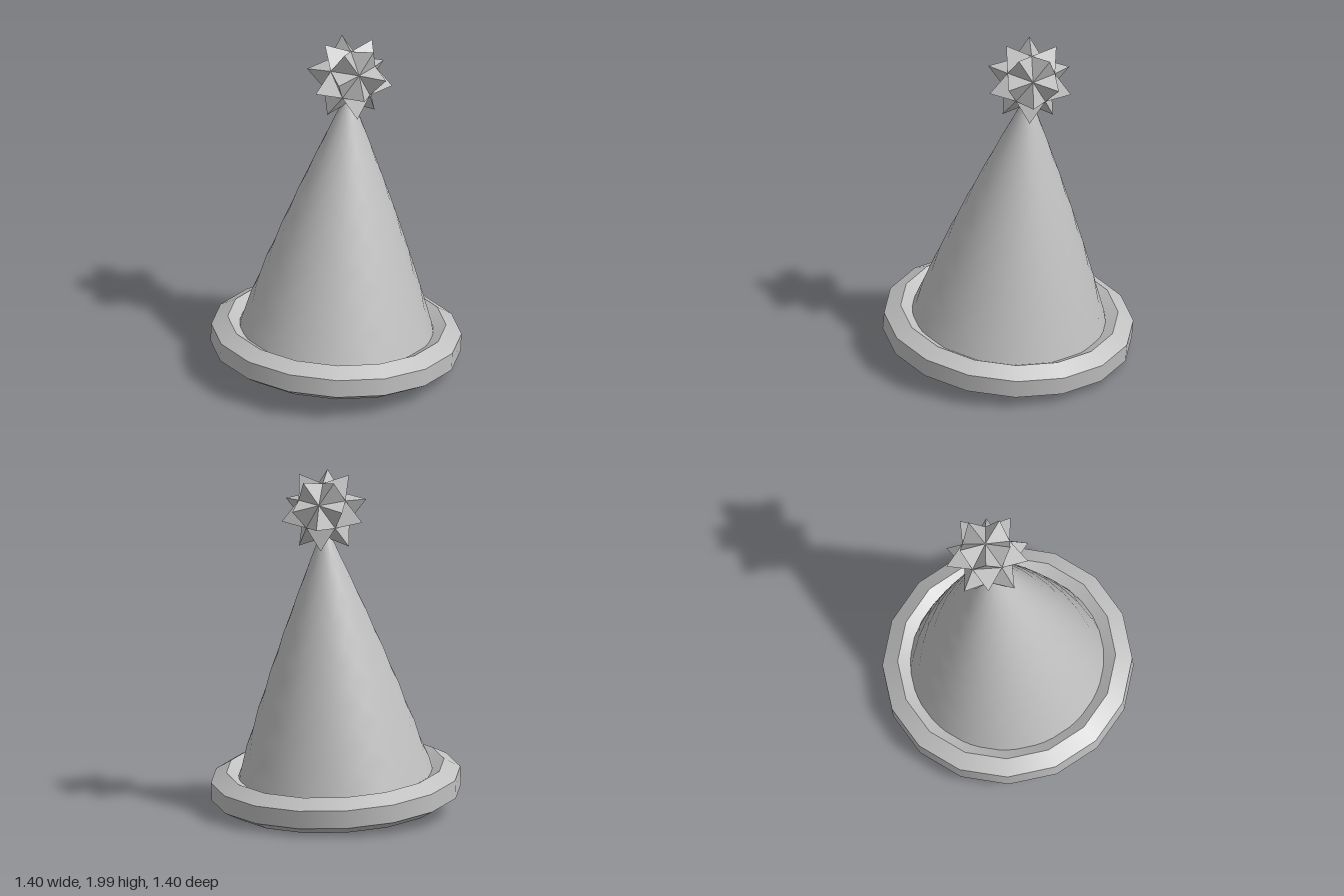
import * as THREE from 'three';
import { mergeVertices } from 'three/addons/utils/BufferGeometryUtils.js';

const SIDES = 16;

// Cone whose 16-sided rings turn as they rise, giving soft spiral ridges
function twistedCone(bottom, top, rings, turn) {
  const profile = [];
  for (let i = 0; i <= rings; i++) {
    const t = i / rings;
    const r = THREE.MathUtils.lerp(0.61, 0.04, t) + 0.022 * Math.sin(Math.PI * t);
    profile.push(new THREE.Vector2(r, THREE.MathUtils.lerp(bottom, top, t)));
  }
  profile.push(new THREE.Vector2(0.022, top + 0.02), new THREE.Vector2(0, top + 0.03));
  let geo = new THREE.LatheGeometry(profile, SIDES, Math.PI / SIDES);
  const p = geo.attributes.position;
  for (let i = 0; i < p.count; i++) {
    const a = turn * (p.getY(i) - bottom) / (top - bottom);
    const x = p.getX(i), z = p.getZ(i);
    p.setX(i, x * Math.cos(a) + z * Math.sin(a));
    p.setZ(i, z * Math.cos(a) - x * Math.sin(a));
  }
  geo.deleteAttribute('normal');
  geo.deleteAttribute('uv');
  geo = mergeVertices(geo, 1e-5);
  geo.computeVertexNormals();
  return geo;
}

// Icosahedron with a three-sided spike on each face
function spikyBall(core, reach) {
  const up = [], low = [];
  const at = (deg, y) => {
    const a = THREE.MathUtils.degToRad(deg), r = 2 / Math.sqrt(5);
    return new THREE.Vector3(Math.cos(a) * r, y / Math.sqrt(5), Math.sin(a) * r).multiplyScalar(core);
  };
  for (let k = 0; k < 5; k++) {
    up.push(at(36 + 72 * k, 1));
    low.push(at(72 + 72 * k, -1));
  }
  const top = new THREE.Vector3(0, core, 0), base = new THREE.Vector3(0, -core, 0);
  const points = [];
  const spike = (...c) => {
    const tip = new THREE.Vector3().add(c[0]).add(c[1]).add(c[2]).setLength(reach);
    const n = c[1].clone().sub(c[0]).cross(c[2].clone().sub(c[0]));
    if (n.dot(tip) < 0) c.reverse();
    for (let i = 0; i < 3; i++) points.push(c[i], c[(i + 1) % 3], tip);
  };
  for (let k = 0; k < 5; k++) {
    const n = (k + 1) % 5;
    spike(top, up[k], up[n]);
    spike(up[k], up[n], low[k]);
    spike(low[k], low[n], up[n]);
    spike(base, low[k], low[n]);
  }
  const geo = new THREE.BufferGeometry().setFromPoints(points);
  geo.computeVertexNormals();
  return geo;
}

export function createModel() {
  const model = new THREE.Group();
  model.name = 'partyHat';
  const grey = new THREE.MeshStandardMaterial({ color: 0xc0c0c0 });
  grey.name = 'plainGrey';

  // Whole hat leans back
  const hat = new THREE.Group();
  hat.name = 'leaningHat';
  hat.position.y = 0.161;
  hat.rotation.x = -0.087;
  model.add(hat);
  const add = (name, geo, parent = hat) => {
    const mesh = new THREE.Mesh(geo, grey);
    mesh.name = name;
    parent.add(mesh);
    return mesh;
  };

  // Brim: six bands around a hexagonal section, sharp between bands
  const brim = new THREE.Group();
  brim.name = 'brim';
  hat.add(brim);
  const corner = (k) => {
    const a = Math.PI / 6 + k * Math.PI / 3;
    return new THREE.Vector2(0.623 + 0.105 * Math.cos(a), 0.105 * Math.sin(a));
  };
  for (let k = 0; k < 6; k++) {
    add('brimBand', new THREE.LatheGeometry([corner(k), corner(k + 1)], SIDES, Math.PI / SIDES), brim);
  }

  // Cone and its closed base
  add('cone', twistedCone(-0.1, 1.46, 14, 2.8));
  const base = new THREE.CircleGeometry(0.61, SIDES, Math.PI / SIDES);
  base.rotateX(Math.PI / 2);
  add('coneBase', base).position.y = -0.1;

  // Spiky pompom on the tip
  add('pompom', spikyBall(0.16, 0.25)).position.y = 1.63;

  return model;
}
